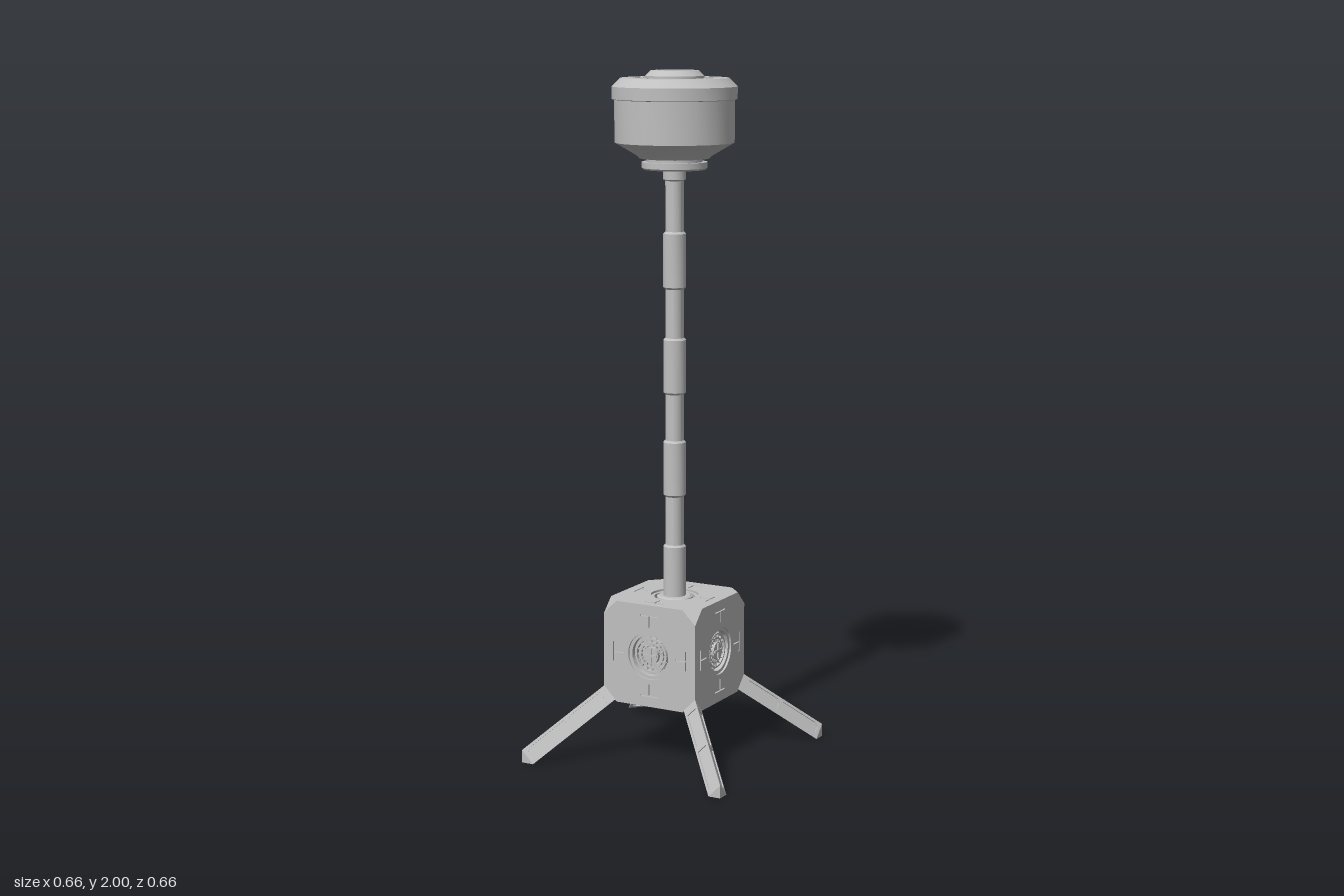
import * as THREE from 'three';
import { toCreasedNormals } from 'three/addons/utils/BufferGeometryUtils.js';
import { ConvexGeometry } from 'three/addons/geometries/ConvexGeometry.js';

const V2 = (x, y) => new THREE.Vector2(x, y);

export function createModel() {
  const grey = new THREE.MeshStandardMaterial({ color: 0xc0c0c0 });
  grey.name = 'metal grey';
  const model = new THREE.Group();
  model.name = 'beacon';

  // helpers
  const add = (parent, name, geo, x = 0, y = 0, z = 0) => {
    const m = new THREE.Mesh(toCreasedNormals(geo, 0.5), grey);
    m.name = name;
    m.position.set(x, y, z);
    parent.add(m);
    return m;
  };
  const group = (parent, name) => {
    const g = new THREE.Group();
    g.name = name;
    parent.add(g);
    return g;
  };
  const lathe = (pts, seg = 36) => new THREE.LatheGeometry(pts.map(p => V2(p[0], p[1])), seg);
  const circle = (r, n = 36) => Array.from({ length: n }, (_, i) =>
    V2(r * Math.cos(i / n * Math.PI * 2), r * Math.sin(i / n * Math.PI * 2)));
  const rect = (x0, y0, x1, y1) => [V2(x0, y0), V2(x1, y0), V2(x1, y1), V2(x0, y1)];
  const plate = (outline, holes, depth) => {
    const s = new THREE.Shape(outline);
    s.holes = holes.map(h => new THREE.Path(h));
    return new THREE.ExtrudeGeometry(s, { depth, bevelEnabled: false });
  };

  // lamp head
  const head = group(model, 'head');
  add(head, 'headBody', lathe([[0, 1.72], [0.088, 1.72], [0.094, 1.725], [0.094, 1.742], [0.08, 1.742],
    [0.08, 1.75], [0.1, 1.752], [0.108, 1.76], [0.171, 1.797], [0.172, 1.918], [0.179, 1.92],
    [0.179, 1.955], [0.155, 1.979], [0.118, 1.979], [0.118, 1.97], [0, 1.97]]));
  const vents = [];
  for (let i = 0; i < 30; i++) {
    const a = (i + 0.5) / 30 * Math.PI * 2;
    vents.push([[0.091, -0.003], [0.111, -0.0048], [0.111, 0.0048], [0.091, 0.003]].map(([r, t]) =>
      V2(r * Math.cos(a) - t * Math.sin(a), r * Math.sin(a) + t * Math.cos(a))));
  }
  add(head, 'ventRing', plate(circle(0.118), [circle(0.08), ...vents], 0.009), 0, 1.969, 0).rotation.x = -Math.PI / 2;
  add(head, 'capRim', lathe([[0.084, 1.97], [0.084, 1.985], [0.068, 2], [0.06, 1.994], [0, 1.994]]));
  add(head, 'capFace', plate(circle(0.068), [rect(-0.06, -0.02, 0.06, 0.02)], 0.005), 0, 1.995, 0).rotation.x = -Math.PI / 2;

  // pole with four thicker sleeves
  const pole = [[0.034, 0.44]];
  for (const [a, b] of [[0.47, 0.62], [0.775, 0.93], [1.077, 1.23], [1.383, 1.537]]) {
    if (a > 0.5) pole.push([0.027, a - 0.006]);
    pole.push([0.033, a], [0.033, b], [0.027, b + 0.006]);
  }
  pole.push([0.027, 1.688], [0.033, 1.692], [0.033, 1.73]);
  add(model, 'pole', lathe(pole, 20));

  // cube base with cut corners
  const H = 0.152, C = 0.042;
  const base = group(model, 'base');
  base.position.y = 0.322;
  add(base, 'baseCore', new THREE.BoxGeometry(0.262, 0.262, 0.262));
  for (const x of [-1, 1]) for (const y of [-1, 1]) for (const z of [-1, 1]) {
    const p = (a, b, c) => new THREE.Vector3(a * x, b * y, c * z);
    add(base, 'cornerFacet', new ConvexGeometry([p(H - C, H, H), p(H, H - C, H), p(H, H, H - C), p(0.09, 0.09, 0.09)]));
  }
  const e = H - C;
  const octagon = [V2(e, -H), V2(H, -e), V2(H, e), V2(e, H), V2(-e, H), V2(-H, e), V2(-H, -e), V2(-e, -H)];
  // thin seams running from the port to the middle of each side, ending in a notch
  const seams = [0, 1, 2, 3].map(k => {
    const c = [1, 0, -1, 0][k], s = [0, 1, 0, -1][k];
    return [[0.085, -0.002], [0.118, -0.002], [0.118, -0.03], [0.122, -0.03], [0.122, 0.03],
      [0.118, 0.03], [0.118, 0.002], [0.085, 0.002]].map(([u, v]) => V2(u * c - v * s, u * s + v * c));
  });
  const addFace = (name, rx, ry, hasPort) => {
    const f = group(base, name);
    f.rotation.set(rx, ry, 0);
    add(f, 'panel', plate(octagon, [...seams, ...(hasPort ? [circle(0.07)] : [])], 0.006), 0, 0, H - 0.006);
    add(f, 'backing', plate(octagon.map(p => p.clone().multiplyScalar(0.99)),
      hasPort ? [circle(0.06)] : [], 0.02), 0, 0, H - 0.026);
    return f;
  };
  for (let k = 0; k < 4; k++) {
    const f = addFace('sideFace', 0, k * Math.PI / 2, true);
    // round vent: two rings, slanted blades and a hub with a cross
    const port = group(f, 'port');
    for (const [r, z] of [[0.052, 0.142], [0.039, 0.139]])
      add(port, 'portRing', plate(circle(r, 28), [circle(r - 0.005, 28)], z - 0.13), 0, 0, 0.13);
    for (let i = 0; i < 16; i++) {
      const a = i / 16 * Math.PI * 2;
      const b = add(port, 'blade', new THREE.BoxGeometry(0.03, 0.003, 0.008), 0.04 * Math.cos(a), 0.04 * Math.sin(a), 0.135);
      b.rotation.z = a + 0.4;
    }
    add(port, 'hub', new THREE.CylinderGeometry(0.025, 0.025, 0.014, 20), 0, 0, 0.137).rotation.x = Math.PI / 2;
    add(port, 'crossBar', new THREE.BoxGeometry(0.044, 0.007, 0.006), 0, 0, 0.145);
    add(port, 'crossBar', new THREE.BoxGeometry(0.007, 0.044, 0.006), 0, 0, 0.145);
  }
  addFace('topFace', -Math.PI / 2, 0, true);
  addFace('bottomFace', Math.PI / 2, 0, false);
  add(base, 'poleSocket', lathe([[0.052, 0.12], [0.052, 0.147], [0.046, 0.151], [0.03, 0.151]], 28));

  // four triangular legs pointing out through the lower corners
  const LC = 0.0375, R = LC * Math.SQRT2 / Math.sqrt(3), L = 0.31, W = LC / Math.SQRT2, T = 0.003;
  const dir = new THREE.Vector3(1, -1, 1).normalize();
  const up = new THREE.Vector3(1, 2, 1).normalize();
  const turn = new THREE.Matrix4().makeBasis(new THREE.Vector3().crossVectors(up, dir), up, dir);
  const tri = g => g.rotateX(Math.PI / 2).rotateZ(Math.PI);
  const windows = [[0.03, L / 2 - 0.006], [L / 2 + 0.006, L - 0.012]].map(([a, b]) =>
    [V2(-W + 0.008, a), V2(W - 0.008, a), V2(W - 0.008, b - 0.01), V2(W - 0.016, b), V2(-W + 0.016, b), V2(-W + 0.008, b - 0.01)]);
  for (let k = 0; k < 4; k++) {
    const pivot = group(model, 'leg');
    pivot.rotation.y = k * Math.PI / 2;
    const leg = group(pivot, 'legBeam');
    leg.quaternion.setFromRotationMatrix(turn);
    leg.position.set(0.328, 0, 0.328).addScaledVector(dir, -LC / Math.sqrt(3) - L);
    add(leg, 'legCore', tri(new THREE.CylinderGeometry(R - 2 * T, R - 2 * T, L, 3)), 0, 0, L / 2);
    add(leg, 'foot', tri(new THREE.ConeGeometry(R, LC / Math.sqrt(3), 3)), 0, 0, L + LC / Math.sqrt(3) / 2);
    // framed skin on each of the three long faces
    for (let i = 0; i < 3; i++) {
      const side = group(leg, 'legSide');
      side.rotation.z = i * Math.PI * 2 / 3;
      const frame = plate([V2(-W, 0), V2(W, 0), V2(W, L), V2(-W, L)], windows, T);
      // taper the inner edge so neighbouring frames meet in a mitre
      const p = frame.attributes.position;
      for (let j = 0; j < p.count; j++)
        if (p.getZ(j) < T / 2 && Math.abs(p.getX(j)) > W - 0.001) p.setX(j, Math.sign(p.getX(j)) * (W - T * 1.732));
      frame.computeVertexNormals();
      add(side, 'legFrame', frame, 0, -R / 2 + T, 0).rotation.x = Math.PI / 2;
    }
  }
  return model;
}
